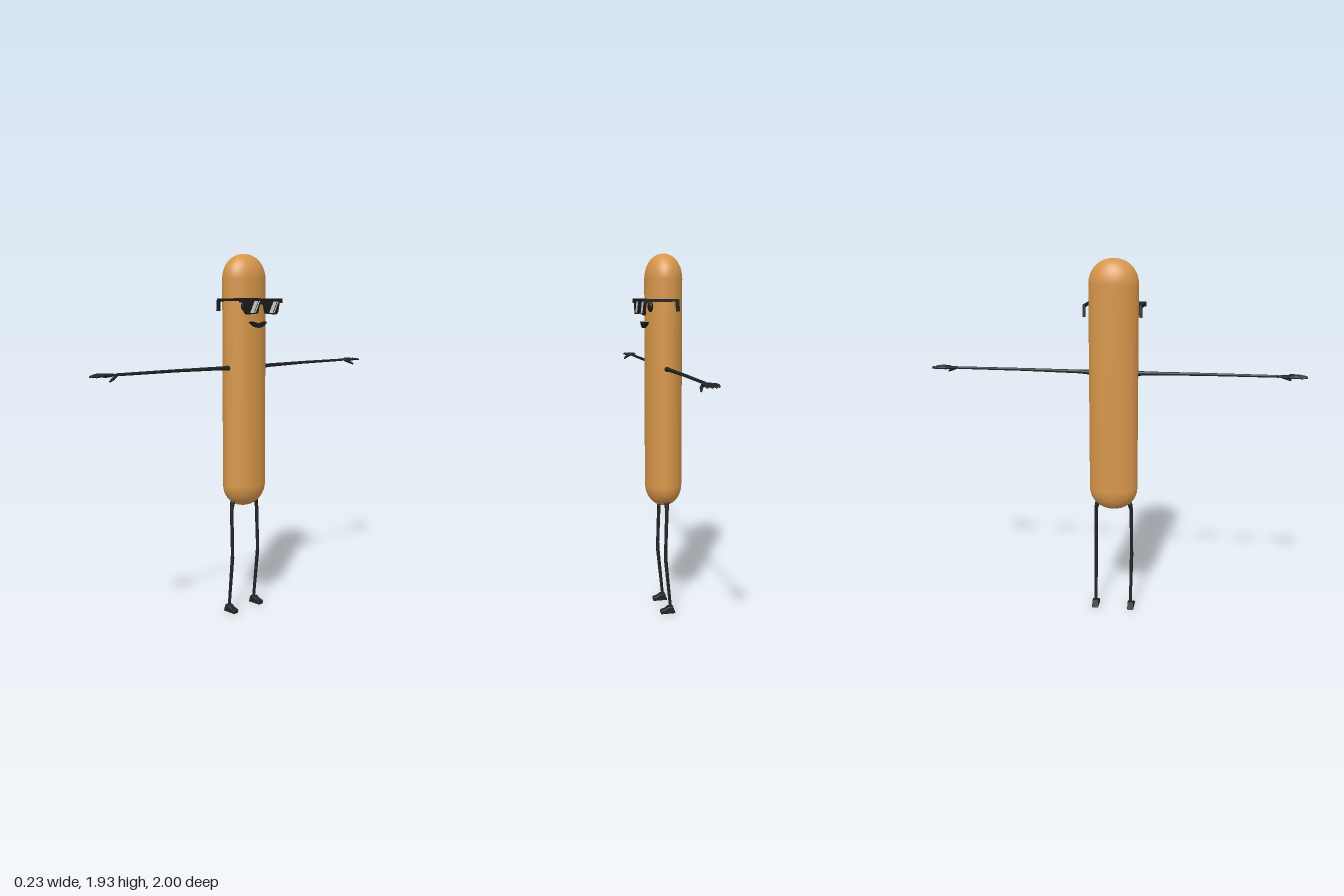
import * as THREE from 'three';

const material = (name, color) => {
  const m = new THREE.MeshStandardMaterial({ color });
  m.name = name;
  return m;
};

export function createModel() {
  const root = new THREE.Group();
  root.name = 'sausageCharacter';
  const tan = material('tanSkin', 0xd6964a);
  const dark = material('darkLimbs', 0x222326);
  const black = material('blackPlastic', 0x1b1b1c);
  const white = material('lensGlint', 0xdcdcdc);

  const add = (parent, name, geometry, mat, x = 0, y = 0, z = 0) => {
    const mesh = new THREE.Mesh(geometry, mat);
    mesh.name = name;
    mesh.position.set(x, y, z);
    parent.add(mesh);
    return mesh;
  };
  const group = (name) => {
    const g = new THREE.Group();
    g.name = name;
    root.add(g);
    return g;
  };

  // Tapered segments with round joints; each point is [x, y, z, radius]
  const limb = (parent, name, points) => {
    points.forEach(([x, y, z, r], i) => {
      add(parent, name + 'Joint', new THREE.SphereGeometry(r, 12, 8), dark, x, y, z);
      if (i === 0) return;
      const [px, py, pz, pr] = points[i - 1];
      const a = new THREE.Vector3(px, py, pz), b = new THREE.Vector3(x, y, z);
      const dir = b.clone().sub(a);
      const seg = add(parent, name, new THREE.CylinderGeometry(r, pr, dir.length(), 12, 1, true), dark);
      seg.position.copy(a).add(b).multiplyScalar(0.5);
      seg.quaternion.setFromUnitVectors(new THREE.Vector3(0, 1, 0), dir.normalize());
    });
  };

  // Flat plate facing +x, from [u, y] corners where u = -z
  const plate = (parent, name, corners, x, depth, mat) => {
    const shape = new THREE.Shape(corners.map(([u, y]) => new THREE.Vector2(u, y)));
    const g = new THREE.ExtrudeGeometry(shape, { depth, bevelEnabled: false });
    return add(parent, name, g.rotateY(Math.PI / 2), mat, x);
  };

  // Body: long capsule, oval in plan
  const profile = [];
  const steps = 14, rz = 0.13;
  for (let i = 0; i <= steps; i++) {
    const a = (i / steps) * Math.PI / 2;
    profile.push(new THREE.Vector2(rz * Math.sin(a) ** 0.92, 0.71 - 0.12 * Math.cos(a)));
  }
  for (let i = 0; i <= steps; i++) {
    const a = (i / steps) * Math.PI / 2;
    profile.push(new THREE.Vector2(rz * Math.cos(a) ** 0.92, 1.8 + 0.13 * Math.sin(a)));
  }
  profile[0].x = profile[profile.length - 1].x = 0;
  const bodyGeometry = new THREE.LatheGeometry(profile, 48);
  bodyGeometry.scale(0.75, 1, 1);
  bodyGeometry.computeVertexNormals();
  add(root, 'body', bodyGeometry, tan, -0.018);

  for (const s of [1, -1]) {
    const side = s > 0 ? 'near' : 'far';

    // Arm, palm, fingers and drooping thumb
    const arm = group(side + 'Arm');
    limb(arm, 'arm', [
      [-0.01, 1.34, s * 0.11, 0.015], [-0.01, 1.342, s * 0.18, 0.01],
      [-0.01, 1.345, s * 0.48, 0.008], [-0.01, 1.345, s * 0.85, 0.007]]);
    const palm = new THREE.CylinderGeometry(0.032, 0.008, 0.09, 16);
    palm.scale(1, 1, 0.32).rotateX(s * Math.PI / 2);
    add(arm, 'palm', palm, dark, -0.01, 1.345, s * 0.875);
    [0.97, 0.992, 0.995, 0.985].forEach((tip, i) => {
      const x = -0.036 + i * 0.0175;
      limb(arm, 'finger', [
        [x, 1.346, s * 0.91, 0.0075], [x * 1.06, 1.347, s * 0.95, 0.0065],
        [x * 1.06, 1.343, s * (tip - 0.001), 0.005]]);
    });
    limb(arm, 'thumb', [
      [0.004, 1.343, s * 0.865, 0.008], [0.018, 1.332, s * 0.89, 0.008],
      [0.026, 1.32, s * 0.915, 0.005]]);

    // Leg bent slightly at the knee
    const leg = group(side + 'Leg');
    limb(leg, 'leg', [
      [-0.018, 0.615, s * 0.09, 0.013], [-0.017, 0.58, s * 0.098, 0.01],
      [-0.01, 0.345, s * 0.1, 0.009], [-0.01, 0.31, s * 0.1, 0.01],
      [-0.038, 0.03, s * 0.098, 0.008]]);

    // Wedge foot pointing forward
    const sole = new THREE.Shape();
    sole.moveTo(-0.06, 0.003);
    sole.lineTo(0.014, 0.003);
    sole.quadraticCurveTo(0.02, 0.018, 0.008, 0.02);
    sole.quadraticCurveTo(-0.012, 0.023, -0.025, 0.037);
    sole.lineTo(-0.048, 0.037);
    sole.closePath();
    const foot = new THREE.ExtrudeGeometry(sole, {
      depth: 0.024, bevelSize: 0.003, bevelThickness: 0.005, bevelSegments: 2 });
    add(leg, 'foot', foot, dark, 0, 0, s * 0.1 - 0.012);

    // Eye behind the lens
    const eye = new THREE.SphereGeometry(1, 20, 12).scale(0.014, 0.028, 0.026);
    add(root, side + 'Eye', eye, black, 0.068, 1.66, s * 0.083);
  }

  // Smiling mouth
  const smile = new THREE.Shape();
  smile.moveTo(-0.058, 1.578);
  smile.quadraticCurveTo(-0.035, 1.55, 0, 1.549);
  smile.quadraticCurveTo(0.035, 1.55, 0.058, 1.578);
  smile.quadraticCurveTo(0.045, 1.584, 0.025, 1.576);
  smile.quadraticCurveTo(0, 1.57, -0.025, 1.576);
  smile.quadraticCurveTo(-0.045, 1.584, -0.058, 1.578);
  const mouth = new THREE.ExtrudeGeometry(smile, { depth: 0.032, bevelEnabled: false });
  add(root, 'mouth', mouth.rotateY(Math.PI / 2), black, 0.062);

  // Sunglasses: brow bar, lenses, temples with ear hooks
  const glasses = group('sunglasses');
  add(glasses, 'browBar', new THREE.BoxGeometry(0.02, 0.014, 0.31), black, 0.105, 1.693, 0);
  add(glasses, 'bridge', new THREE.BoxGeometry(0.016, 0.022, 0.034), black, 0.105, 1.68, 0);
  for (const s of [1, -1]) {
    const corners = [[0.008, 1.698], [0.03, 1.622], [0.112, 1.617], [0.126, 1.63], [0.142, 1.698]];
    plate(glasses, 'lens', corners.map(([u, y]) => [u * s, y]), 0.1, 0.012, black);
    add(glasses, 'hinge', new THREE.BoxGeometry(0.02, 0.022, 0.018), black, 0.105, 1.688, s * 0.146);
    add(glasses, 'temple', new THREE.BoxGeometry(0.175, 0.014, 0.012), black, 0.021, 1.692, s * 0.147);
    const hook = add(glasses, 'earHook', new THREE.BoxGeometry(0.018, 0.062, 0.012), black, -0.06, 1.667, s * 0.147);
    hook.rotation.z = -0.08;
  }

  // Slanted glints across both lenses
  for (const u of [-0.057, 0.088]) {
    for (const [o, w] of [[0, 0.026], [0.033, 0.006]]) {
      plate(glasses, 'lensGlint', [
        [u + o, 1.686], [u + o - 0.033, 1.626], [u + o - 0.033 + w, 1.626], [u + o + w, 1.686]],
      0.0985, 0.015, white);
    }
  }
  return root;
}
